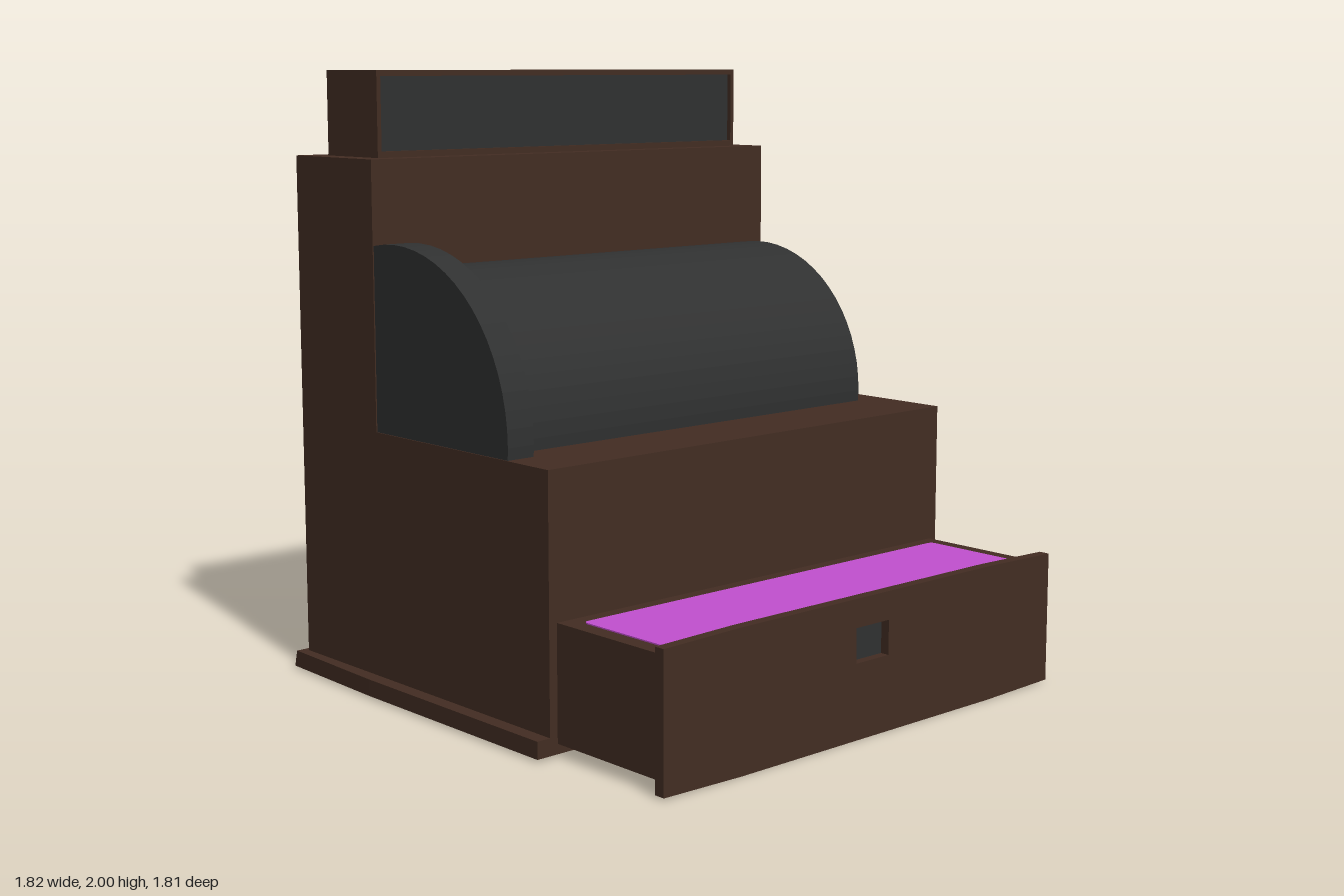
import * as THREE from 'three';

const material = (name, color) => {
  const m = new THREE.MeshStandardMaterial({ color });
  m.name = name;
  return m;
};

export function createModel() {
  const wood = material('dark brown wood', 0x432d23);
  const metal = material('charcoal metal', 0x303131);
  const tray = material('magenta tray', 0xc250d0);

  const model = new THREE.Group();
  model.name = 'cashRegister';

  const add = (name, geometry, mat) => {
    const mesh = new THREE.Mesh(geometry, mat);
    mesh.name = name;
    model.add(mesh);
    return mesh;
  };
  const outline = (pts) => new THREE.Shape(pts.map(([x, y]) => new THREE.Vector2(x, y)));
  const rectangle = (hw, y0, y1) => [[-hw, y0], [hw, y0], [hw, y1], [-hw, y1]];
  const extrude = (shape, depth) => new THREE.ExtrudeGeometry(shape, { depth, bevelEnabled: false });
  const box = (name, mat, x0, x1, y0, y1, z0, z1) =>
    add(name, new THREE.BoxGeometry(x1 - x0, y1 - y0, z1 - z0)
      .translate((x0 + x1) / 2, (y0 + y1) / 2, (z0 + z1) / 2), mat);
  // Panel facing +x, with a rectangular opening
  const frame = (name, pts, opening, x0, x1) => {
    const shape = outline(pts);
    shape.holes.push(new THREE.Path(opening.map(([x, y]) => new THREE.Vector2(x, y))));
    add(name, extrude(shape, x1 - x0).rotateY(Math.PI / 2).translate(x0, 0, 0), wood);
  };

  // Plinth: edges taper toward the back, with a sloping rear face
  const plinth = extrude(outline([
    [0.42, -0.905], [0.42, 0.905], [-0.44, 0.905], [-0.9, 0.89],
    [-0.91, 0.4], [-0.91, -0.4], [-0.9, -0.89], [-0.44, -0.905],
  ]), 0.055).rotateX(-Math.PI / 2).translate(0, 0.008, 0);
  const p = plinth.attributes.position;
  for (let i = 0; i < p.count; i++) {
    if (p.getX(i) < -0.8 && p.getY(i) > 0.03) p.setX(i, p.getX(i) + 0.014);
  }
  plinth.computeVertexNormals();
  add('plinth', plinth, wood);

  // Stepped cabinet
  add('cabinet', extrude(outline([
    [-0.865, 0.05], [0.42, 0.05], [0.42, 0.863], [-0.44, 0.863], [-0.44, 1.725], [-0.865, 1.725],
  ]), 1.714).translate(0, 0, -0.857), wood);

  // Arched drum and its larger end flange, cut off by the cabinet step
  const arch = (radius) => {
    const cx = -0.335, cy = 0.9, steps = 18;
    const end = Math.acos((-0.44 - cx) / radius);
    const pts = [[-0.44, 0.863], [cx + radius * 0.997, 0.863]];
    for (let i = 0; i <= steps; i++) {
      const a = end * i / steps;
      pts.push([cx + radius * Math.cos(a), cy + radius * Math.sin(a)]);
    }
    return outline(pts);
  };
  add('drum', extrude(arch(0.488), 1.505).translate(0, 0, -0.75), [wood, metal]);
  add('drumFlange', extrude(arch(0.565), 0.098).translate(0, 0, 0.755), metal);

  // Display on top, with a recessed window
  box('displayCase', wood, -0.79, -0.53, 1.725, 2, -0.782, 0.782);
  frame('displayFrame', rectangle(0.782, 1.725, 2), rectangle(0.767, 1.745, 1.982), -0.53, -0.51);
  box('displayWindow', metal, -0.53, -0.526, 1.745, 1.982, -0.767, 0.767);

  // Open drawer with its coloured tray
  box('drawerBox', wood, 0.42, 0.874, 0.04, 0.406, -0.828, 0.828);
  const inset = new THREE.Shape();
  const hx = 0.17, hz = 0.773, r = 0.02;
  inset.moveTo(-hx + r, -hz);
  inset.lineTo(hx - r, -hz).quadraticCurveTo(hx, -hz, hx, -hz + r);
  inset.lineTo(hx, hz - r).quadraticCurveTo(hx, hz, hx - r, hz);
  inset.lineTo(-hx + r, hz).quadraticCurveTo(-hx, hz, -hx, hz - r);
  inset.lineTo(-hx, -hz + r).quadraticCurveTo(-hx, -hz, -hx + r, -hz);
  add('drawerTray', extrude(inset, 0.005).rotateX(-Math.PI / 2).translate(0.645, 0.405, 0), tray);

  // Drawer front, slightly bowed, with a recessed square pull
  frame('drawerFront', [
    [-0.852, 0.007], [-0.55, 0], [0.55, 0], [0.852, 0.007],
    [0.852, 0.433], [0.55, 0.44], [-0.55, 0.44], [-0.852, 0.433],
  ], rectangle(0.072, 0.24, 0.35), 0.874, 0.91);
  box('drawerPull', metal, 0.874, 0.88, 0.24, 0.35, -0.072, 0.072);

  return model;
}
